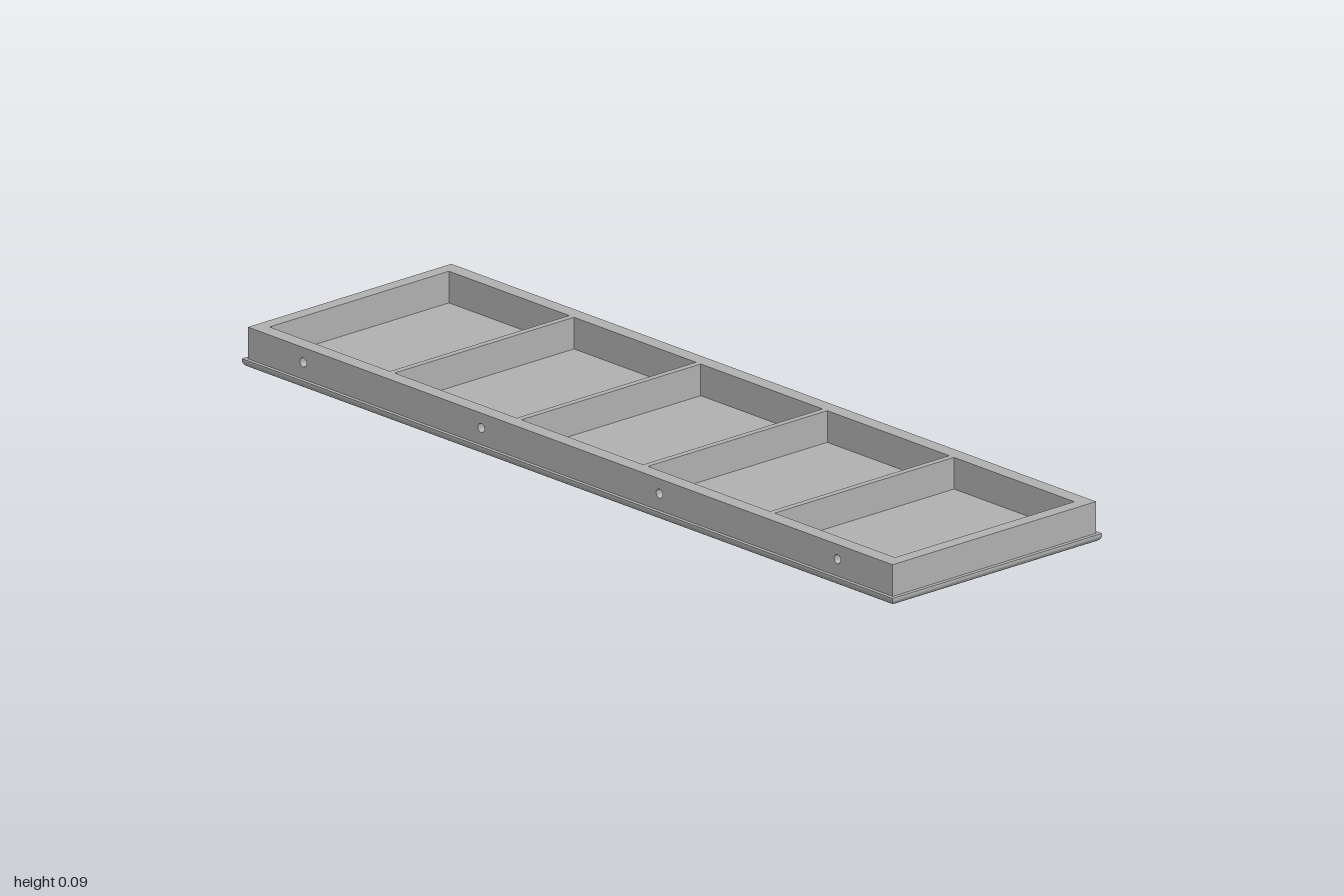
import * as THREE from 'three';
import { toCreasedNormals } from 'three/addons/utils/BufferGeometryUtils.js';

const BASE = { x: 1.0, z: 0.2955, top: 0.018, fillet: 0.014 };
const WALL = { x: 0.991, z: 0.287, top: 0.088, endT: 0.03, longT: 0.034 };
const HOLE = { r: 0.01, y: 0.055, depth: 0.022, xs: [-0.821, -0.274, 0.274, 0.821] };
const DIVIDER = { t: 0.0145, xs: [-0.584, -0.1945, 0.1945, 0.584] };

// Rectangular plate whose lower edge is rounded, with mitred corners
function filletedPlate() {
  const steps = 10, r = BASE.fillet;
  const rings = [];
  const addRing = (inset, y) => {
    const x = BASE.x - inset, z = BASE.z - inset;
    rings.push([[-x, y, z], [x, y, z], [x, y, -z], [-x, y, -z]]);
  };
  for (let i = 0; i <= steps; i++) {
    const a = (i / steps) * Math.PI / 2;
    addRing(r * (1 - Math.sin(a)), r * (1 - Math.cos(a)));
  }
  addRing(0, BASE.top);

  const pos = [];
  const quad = (a, b, c, d) => pos.push(...a, ...b, ...c, ...a, ...c, ...d);
  for (let i = 0; i < rings.length - 1; i++) {
    for (let k = 0; k < 4; k++) {
      const n = (k + 1) % 4;
      quad(rings[i][k], rings[i][n], rings[i + 1][n], rings[i + 1][k]);
    }
  }
  quad(...[...rings[0]].reverse());
  quad(...rings[rings.length - 1]);
  const geo = new THREE.BufferGeometry();
  geo.setAttribute('position', new THREE.Float32BufferAttribute(pos, 3));
  return toCreasedNormals(geo, 0.6);
}

// Outer skin of a long wall, pierced by the screw holes
function piercedSkin() {
  const s = new THREE.Shape();
  s.moveTo(-WALL.x, BASE.top);
  s.lineTo(WALL.x, BASE.top);
  s.lineTo(WALL.x, WALL.top);
  s.lineTo(-WALL.x, WALL.top);
  s.closePath();
  for (const x of HOLE.xs) {
    s.holes.push(new THREE.Path().absarc(x, HOLE.y, HOLE.r, 0, Math.PI * 2, true));
  }
  const geo = new THREE.ExtrudeGeometry(s, { depth: HOLE.depth, bevelEnabled: false, curveSegments: 24 });
  geo.translate(0, 0, WALL.z - HOLE.depth);
  return toCreasedNormals(geo, 0.6);
}

export function createModel() {
  const model = new THREE.Group();
  model.name = 'compartmentTray';
  const grey = new THREE.MeshStandardMaterial({ color: 0xb0b0b0 });
  grey.name = 'grey';

  const add = (parent, name, geo, x = 0, y = 0, z = 0) => {
    const mesh = new THREE.Mesh(geo, grey);
    mesh.name = name;
    mesh.position.set(x, y, z);
    parent.add(mesh);
  };

  const height = WALL.top - BASE.top;
  const midY = BASE.top + height / 2;
  const innerZ = WALL.z - WALL.longT;

  add(model, 'basePlate', filletedPlate());

  // Front and back walls: pierced skin over a solid lining gives blind holes
  const skin = piercedSkin();
  const liningT = WALL.longT - HOLE.depth;
  const lining = new THREE.BoxGeometry(WALL.x * 2, height, liningT);
  for (const [name, turn] of [['frontWall', 0], ['backWall', Math.PI]]) {
    const wall = new THREE.Group();
    wall.name = name;
    wall.rotation.y = turn;
    add(wall, 'wallSkin', skin);
    add(wall, 'wallLining', lining, 0, midY, innerZ + liningT / 2);
    model.add(wall);
  }

  // End walls
  const end = new THREE.BoxGeometry(WALL.endT, height, innerZ * 2);
  add(model, 'leftWall', end, WALL.x - WALL.endT / 2, midY);
  add(model, 'rightWall', end, -WALL.x + WALL.endT / 2, midY);

  // Dividers between the five compartments
  const divider = new THREE.BoxGeometry(DIVIDER.t, height, innerZ * 2);
  DIVIDER.xs.forEach((x, i) => add(model, `divider${i + 1}`, divider, x, midY));

  return model;
}
